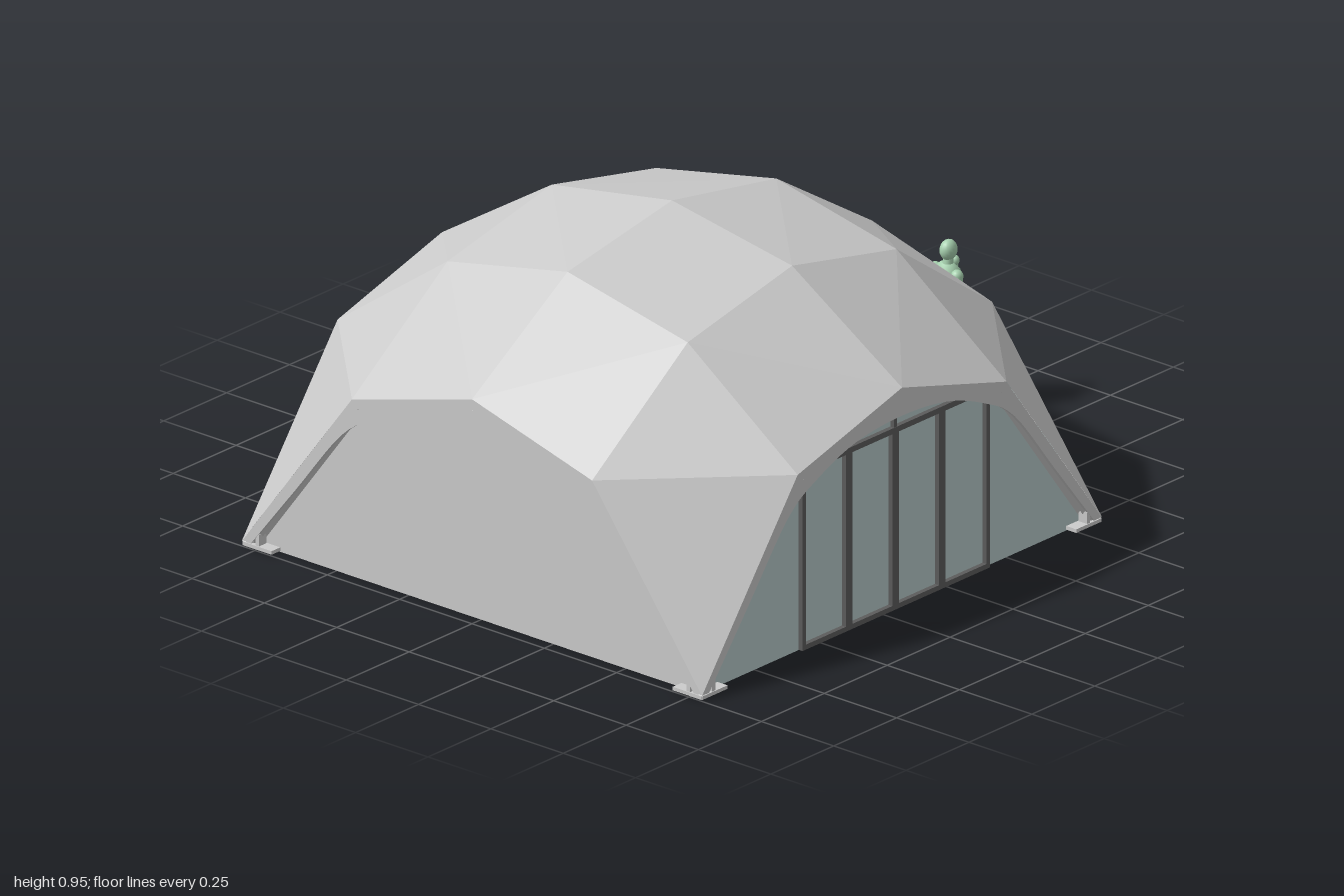
import * as THREE from 'three';

const mat = (color, opts = {}) => new THREE.MeshStandardMaterial({ color, ...opts });
const grey = mat(0xcccccc, { flatShading: true, side: THREE.DoubleSide });
const glass = mat(0xb8cccb, { side: THREE.DoubleSide });
const dark = mat(0x5c5c5c);
const green = mat(0xa6d0ae);

const DOME_X = -0.205;
const H = 0.795;
const GRID = [0, 0.415, H];
const HEIGHT = [[0.945, 0.875, 0.635], [0.875, 0.79, 0.52], [0.635, 0.52, 0.015]];
const node = (i, j, sx, sz) => new THREE.Vector3(sx * GRID[i], HEIGHT[i][j], sz * GRID[j]);

function add(parent, name, geometry, material, x = 0, y = 0, z = 0) {
  const mesh = new THREE.Mesh(geometry, material);
  mesh.name = name;
  mesh.position.set(x, y, z);
  parent.add(mesh);
  return mesh;
}

const box = (parent, name, w, h, d, x, y, z, material) =>
  add(parent, name, new THREE.BoxGeometry(w, h, d), material, x, y, z);

// Run a function for each quadrant of the dome
function quadrants(fn) {
  for (const sx of [1, -1]) for (const sz of [1, -1]) fn(sx, sz);
}

// Faceted roof: each quadrant is two by two cells split along parallel diagonals
function buildShell(parent) {
  const pos = [];
  quadrants((sx, sz) => {
    const tri = (a, b, c) => {
      for (const p of sx * sz > 0 ? [a, b, c] : [a, c, b]) pos.push(p.x, p.y, p.z);
    };
    for (let i = 0; i < 2; i++) for (let j = 0; j < 2; j++) {
      const a = node(i, j, sx, sz), b = node(i + 1, j, sx, sz);
      const c = node(i, j + 1, sx, sz), d = node(i + 1, j + 1, sx, sz);
      tri(a, c, b);
      tri(b, c, d);
    }
  });
  const g = new THREE.BufferGeometry();
  g.setAttribute('position', new THREE.Float32BufferAttribute(pos, 3));
  g.computeVertexNormals();
  add(parent, 'roofShell', g, grey);
}

// Beams under every edge of the shell, with a hub at every node
function buildFrame(parent) {
  const frame = new THREE.Group();
  frame.name = 'supportFrame';
  parent.add(frame);
  const done = new Set();
  const fresh = (v) => {
    const key = v.toArray().map((n) => Math.round(n * 1000) + 0).join();
    return !done.has(key) && done.add(key);
  };
  const strut = (p, q) => {
    const a = p.clone().multiplyScalar(0.972), b = q.clone().multiplyScalar(0.972);
    const mid = a.clone().add(b).multiplyScalar(0.5);
    if (!fresh(mid)) return;
    const bar = new THREE.Group();
    bar.name = 'strut';
    bar.position.copy(mid);
    bar.up.copy(mid).normalize();
    bar.lookAt(b);
    const len = a.distanceTo(b);
    box(bar, 'strutFlange', 0.026, 0.012, len, 0, 0, 0, grey);
    box(bar, 'strutFin', 0.008, 0.022, len, 0, -0.012, 0, grey);
    frame.add(bar);
  };
  quadrants((sx, sz) => {
    const n = (i, j) => node(i, j, sx, sz);
    for (let i = 0; i < 3; i++) for (let j = 0; j < 3; j++) {
      if (i < 2) strut(n(i, j), n(i + 1, j));
      if (j < 2) strut(n(i, j), n(i, j + 1));
      if (i < 2 && j < 2) strut(n(i + 1, j), n(i, j + 1));
      const p = n(i, j).multiplyScalar(0.968);
      if (i + j < 4 && fresh(p)) {
        const hub = add(frame, 'hub', new THREE.CylinderGeometry(0.024, 0.024, 0.025, 12), grey);
        hub.position.copy(p);
        hub.quaternion.setFromUnitVectors(new THREE.Vector3(0, 1, 0), p.clone().normalize());
      }
    }
    // Foot plates and upright brackets
    const foot = new THREE.Group();
    foot.name = 'foot';
    foot.position.set(sx * H, 0, sz * H);
    foot.scale.set(sx, 1, sz);
    box(foot, 'footPlate', 0.1, 0.01, 0.035, -0.052, 0.008, -0.018, grey);
    box(foot, 'footPlate', 0.035, 0.01, 0.1, -0.018, 0.008, -0.052, grey);
    box(foot, 'footBracket', 0.012, 0.035, 0.03, -0.05, 0.028, -0.018, grey);
    box(foot, 'footBracket', 0.03, 0.035, 0.012, -0.018, 0.028, -0.05, grey);
    frame.add(foot);
  });
}

// Arched rim with a curved opening
function fasciaGeometry() {
  const half = [[0.765, 0.015], [0.61, 0.21], [0.45, 0.41], [0.33, 0.485], [0.18, 0.538]];
  const inner = [...half, [0, 0.555], ...half.map(([x, y]) => [-x, y]).reverse()];
  const curve = new THREE.SplineCurve(inner.map(([x, y]) => new THREE.Vector2(x, y)));
  const outer = [[-H, 0.015], [-0.415, 0.52], [0, 0.635], [0.415, 0.52], [H, 0.015]];
  const pts = [...outer.map(([x, y]) => new THREE.Vector2(x, y)), ...curve.getPoints(50)];
  return new THREE.ExtrudeGeometry(new THREE.Shape(pts), { depth: 0.012, bevelEnabled: false });
}

// One side of the dome; glazed sides carry a four-panel door frame
function buildWall(parent, rim, turn, glazed) {
  const wall = new THREE.Group();
  wall.name = glazed ? 'glazedWall' : 'solidWall';
  wall.rotation.y = turn * Math.PI / 2;
  parent.add(wall);
  add(wall, 'archFascia', rim, grey, 0, 0, H - 0.013);
  const outline = [[-0.785, 0], [0.785, 0], [0.44, 0.525], [0, 0.64], [-0.44, 0.525]];
  const shape = new THREE.Shape(outline.map(([x, y]) => new THREE.Vector2(x, y)));
  add(wall, 'wallPanel', new THREE.ShapeGeometry(shape), glazed ? glass : grey, 0, 0, H - 0.036);
  if (!glazed) return;
  const z = H - 0.029;
  for (const x of [-0.363, -0.185, 0, 0.185, 0.368]) {
    const w = Math.abs(x) > 0.3 ? 0.014 : 0.026;
    box(wall, 'doorMullion', w, 0.51, 0.014, x, 0.26, z, dark);
  }
  box(wall, 'doorSill', 0.745, 0.014, 0.014, 0.0025, 0.008, z, dark);
  box(wall, 'doorHead', 0.745, 0.016, 0.014, 0.0025, 0.509, z, dark);
  box(wall, 'transomPost', 0.012, 0.045, 0.012, 0, 0.535, z, dark);
}

// Standing figure facing +x, one hand raised to the chin
function buildPerson(parent) {
  const person = new THREE.Group();
  person.name = 'standingFigure';
  person.position.x = 0.89;
  parent.add(person);
  const ball = (name, r, x, y, z, sx = 1, sy = 1, sz = 1) =>
    add(person, name, new THREE.SphereGeometry(r, 18, 12), green, x, y, z).scale.set(sx, sy, sz);
  const limb = (name, points, radii) => {
    const v = points.map((p) => new THREE.Vector3(...p));
    v.forEach((p, k) => {
      ball(name, radii[k], p.x, p.y, p.z);
      if (!k) return;
      const d = p.clone().sub(v[k - 1]);
      const seg = add(person, name, new THREE.CylinderGeometry(radii[k], radii[k - 1], d.length(), 14), green);
      seg.position.copy(p).add(v[k - 1]).multiplyScalar(0.5);
      seg.quaternion.setFromUnitVectors(new THREE.Vector3(0, 1, 0), d.normalize());
    });
  };
  const profile = [[0, 0.222], [0.04, 0.222], [0.041, 0.26], [0.036, 0.31], [0.042, 0.365], [0.038, 0.402], [0.018, 0.42], [0, 0.422]];
  const jacket = new THREE.LatheGeometry(profile.map(([r, y]) => new THREE.Vector2(r, y)), 24);
  add(person, 'jacket', jacket, green, 0, 0, -0.003).scale.set(0.86, 1, 1.05);
  limb('neck', [[0, 0.41, 0], [0.004, 0.435, 0]], [0.015, 0.014]);
  ball('head', 0.025, 0.004, 0.456, 0, 1.05, 1.16, 0.88);
  ball('nose', 0.005, 0.031, 0.452, 0);
  limb('hangingArm', [[-0.006, 0.395, 0.038], [-0.03, 0.305, 0.046], [-0.012, 0.232, 0.046]], [0.017, 0.014, 0.01]);
  ball('hangingHand', 0.011, -0.008, 0.213, 0.046, 1, 1.4, 0.7);
  limb('raisedArm', [[0, 0.395, -0.042], [0.03, 0.31, -0.052], [0.045, 0.395, -0.015]], [0.017, 0.015, 0.01]);
  ball('raisedHand', 0.012, 0.042, 0.412, -0.01, 0.9, 1.2, 1);
  limb('leg', [[-0.006, 0.23, 0.02], [0, 0.12, 0.018], [-0.008, 0.025, 0.014]], [0.023, 0.018, 0.014]);
  limb('leg', [[0.008, 0.23, -0.02], [0.03, 0.125, -0.02], [0.044, 0.025, -0.02]], [0.023, 0.018, 0.014]);
  ball('shoe', 0.014, 0.006, 0.011, 0.015, 2.0, 0.8, 0.95);
  ball('shoe', 0.014, 0.072, 0.011, -0.022, 2.2, 0.8, 0.95);
}

export function createModel() {
  const model = new THREE.Group();
  model.name = 'domePavilion';
  const dome = new THREE.Group();
  dome.name = 'dome';
  dome.position.x = DOME_X;
  model.add(dome);
  buildShell(dome);
  buildFrame(dome);
  const rim = fasciaGeometry();
  // Front and +x sides are glazed, the other two are solid
  for (let k = 0; k < 4; k++) buildWall(dome, rim, k, k < 2);
  buildPerson(model);
  return model;
}
